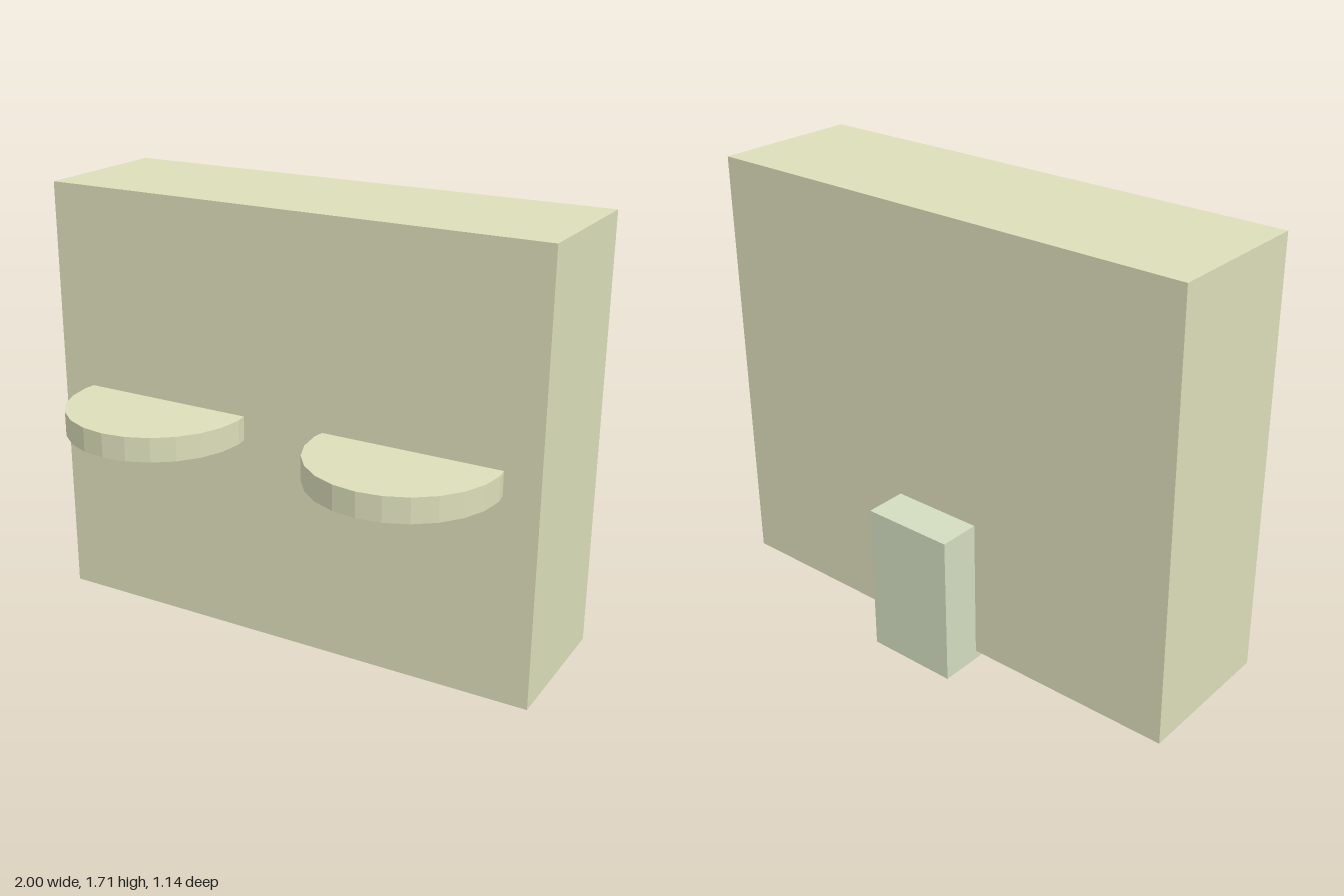
import * as THREE from 'three';

const cream = new THREE.MeshStandardMaterial({ color: 0xdbddb9, flatShading: true });
const paleGreen = new THREE.MeshStandardMaterial({ color: 0xd3dcc0, flatShading: true });

// Box given by its lower and upper corners
function boxBetween(name, material, [x0, y0, z0], [x1, y1, z1]) {
  const mesh = new THREE.Mesh(new THREE.BoxGeometry(x1 - x0, y1 - y0, z1 - z0), material);
  mesh.name = name;
  mesh.position.set((x0 + x1) / 2, (y0 + y1) / 2, (z0 + z1) / 2);
  return mesh;
}

export function createModel() {
  const model = new THREE.Group();

  // Upright slab
  model.add(boxBetween('body', cream, [-1, 0.035, -0.41], [1, 1.71, 0.17]));

  // Block at the lower back, reaching just below the slab
  model.add(boxBetween('rearBlock', paleGreen, [-0.18, 0, -0.57], [0.18, 0.58, -0.185]));

  // Round shelves, partly sunk into the front
  const shelf = new THREE.CylinderGeometry(0.355, 0.355, 0.094, 24);
  for (const side of [1, -1]) {
    const mesh = new THREE.Mesh(shelf, cream);
    mesh.name = side > 0 ? 'leftShelf' : 'rightShelf';
    mesh.position.set(side * 0.515, 0.873, 0.215);
    model.add(mesh);
  }

  return model;
}
